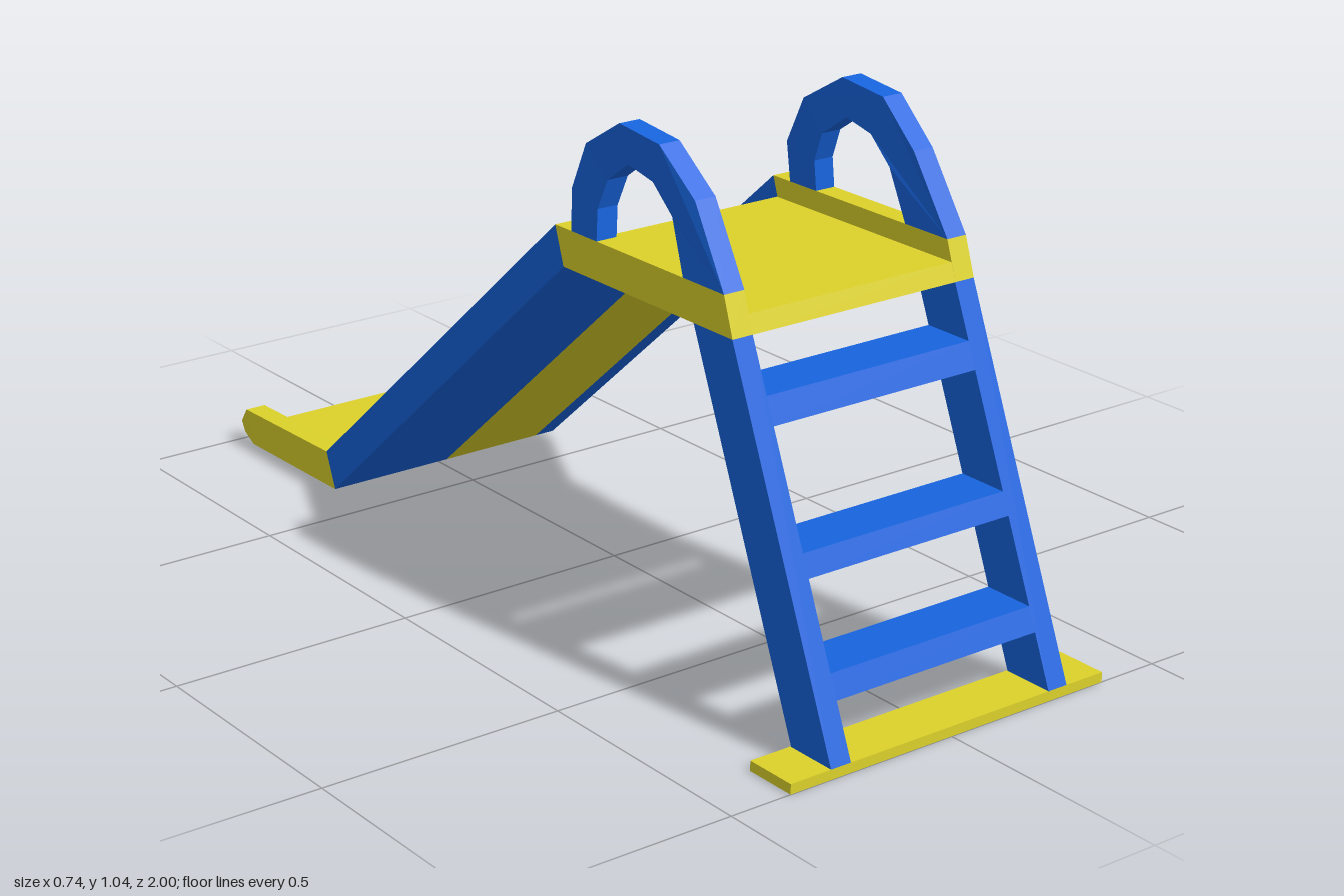
import * as THREE from 'three';

const BLUE = new THREE.MeshStandardMaterial({ color: 0x1764de, flatShading: true });
const YELLOW = new THREE.MeshStandardMaterial({ color: 0xdcd22b, flatShading: true });
const IN = 0.235, OUT = 0.28; // inner and outer x of the side rails

// Side profile of [z, y] points, extruded across x from x0 to x1
function prism(points, x0, x1) {
  const shape = new THREE.Shape(points.map(([z, y]) => new THREE.Vector2(z, y)));
  const geo = new THREE.ExtrudeGeometry(shape, { depth: x1 - x0, bevelEnabled: false });
  return geo.rotateY(-Math.PI / 2).translate(x1, 0, 0);
}

// Move every vertex's x by a rule
function reshapeX(geo, rule) {
  const p = geo.attributes.position;
  for (let i = 0; i < p.count; i++) p.setX(i, rule(p.getX(i), p.getY(i), p.getZ(i)));
  geo.computeVertexNormals();
  return geo;
}

export function createModel() {
  const model = new THREE.Group();
  const add = (name, geo, material) => {
    const mesh = new THREE.Mesh(geo, material);
    mesh.name = name;
    model.add(mesh);
  };
  // z of the ladder's sloping front edge at height y
  const ladderZ = (y) => 1 - 0.405 * (y - 0.02);
  const DEPTH = 0.108;
  const ladderPart = (y0, y1) => [
    [ladderZ(y0), y0], [ladderZ(y1), y1], [ladderZ(y1) - DEPTH, y1], [ladderZ(y0) - DEPTH, y0],
  ];

  // Foot bar
  add('footBar', prism([[1, 0], [1, 0.02], [0.89, 0.02], [0.89, 0]], -0.37, 0.37), YELLOW);

  // Ladder rungs
  for (const [y0, y1] of [[0.122, 0.167], [0.323, 0.365], [0.574, 0.624]]) {
    add('rung', prism(ladderPart(y0, y1), -IN, IN), BLUE);
  }

  // Platform floor
  add('platformFloor', prism([[0.715, 0.725], [0.703, 0.76], [0.207, 0.76], [0.22, 0.725]], -IN, IN), YELLOW);

  // Slide bed: blue surface over a two-coloured underside
  add('slideBed', prism([[0.207, 0.76], [-0.615, 0.05], [-0.608, 0.033], [0.213, 0.743]], -IN, IN), BLUE);
  const under = [[0.213, 0.743], [-0.608, 0.033], [-0.6, 0.015], [0.22, 0.725]];
  add('slideUndersideRight', prism(under, -IN, 0), BLUE);
  add('slideUndersideLeft', prism(under, 0, IN), YELLOW);

  // Flat run-out floor
  add('exitFloor', prism([[-0.6, 0.015], [-0.615, 0.05], [-0.94, 0.05], [-0.935, 0.012]], -IN, IN), YELLOW);

  // Arched handle outline, outer edge then inner edge
  const arch = [
    [0.69, 0.8], [0.6, 0.945], [0.505, 1.025], [0.39, 1.037], [0.285, 0.975], [0.24, 0.88], [0.245, 0.8],
    [0.322, 0.8], [0.32, 0.86], [0.345, 0.92], [0.41, 0.965], [0.48, 0.95], [0.535, 0.9], [0.575, 0.8],
  ];

  for (const side of [-1, 1]) {
    const x0 = side > 0 ? IN : -OUT, x1 = side > 0 ? OUT : -IN;
    add('ladderPost', prism(ladderPart(0.02, 0.725), x0, x1), BLUE);
    add('platformSide', prism([[0.715, 0.725], [0.69, 0.8], [0.195, 0.8], [0.22, 0.725]], x0, x1), YELLOW);
    add('slideRail', prism([[0.195, 0.8], [-0.63, 0.09], [-0.6, 0.015], [0.22, 0.725]], x0, x1), BLUE);

    // Handle bows slightly inward at mid height
    const bow = (y) => Math.max(0, 0.008 * Math.min((y - 0.8) / 0.12, (1.03 - y) / 0.11));
    add('handle', reshapeX(prism(arch, x0, x1), (x, y) => x - side * bow(y)), BLUE);

    // Run-out rail with a tapered tip
    add('exitRail', prism([[-0.6, 0.015], [-0.63, 0.09], [-0.955, 0.084], [-0.93, 0.012]], x0, x1), YELLOW);
    const tip = prism([[-0.93, 0.012], [-0.955, 0.084], [-1, 0.042], [-0.988, 0.02]], x0, x1);
    const mid = (x0 + x1) / 2;
    add('exitRailTip', reshapeX(tip, (x, y, z) => (z < -0.96 ? mid + (x - mid) * 0.4 : x)), YELLOW);
  }
  return model;
}
